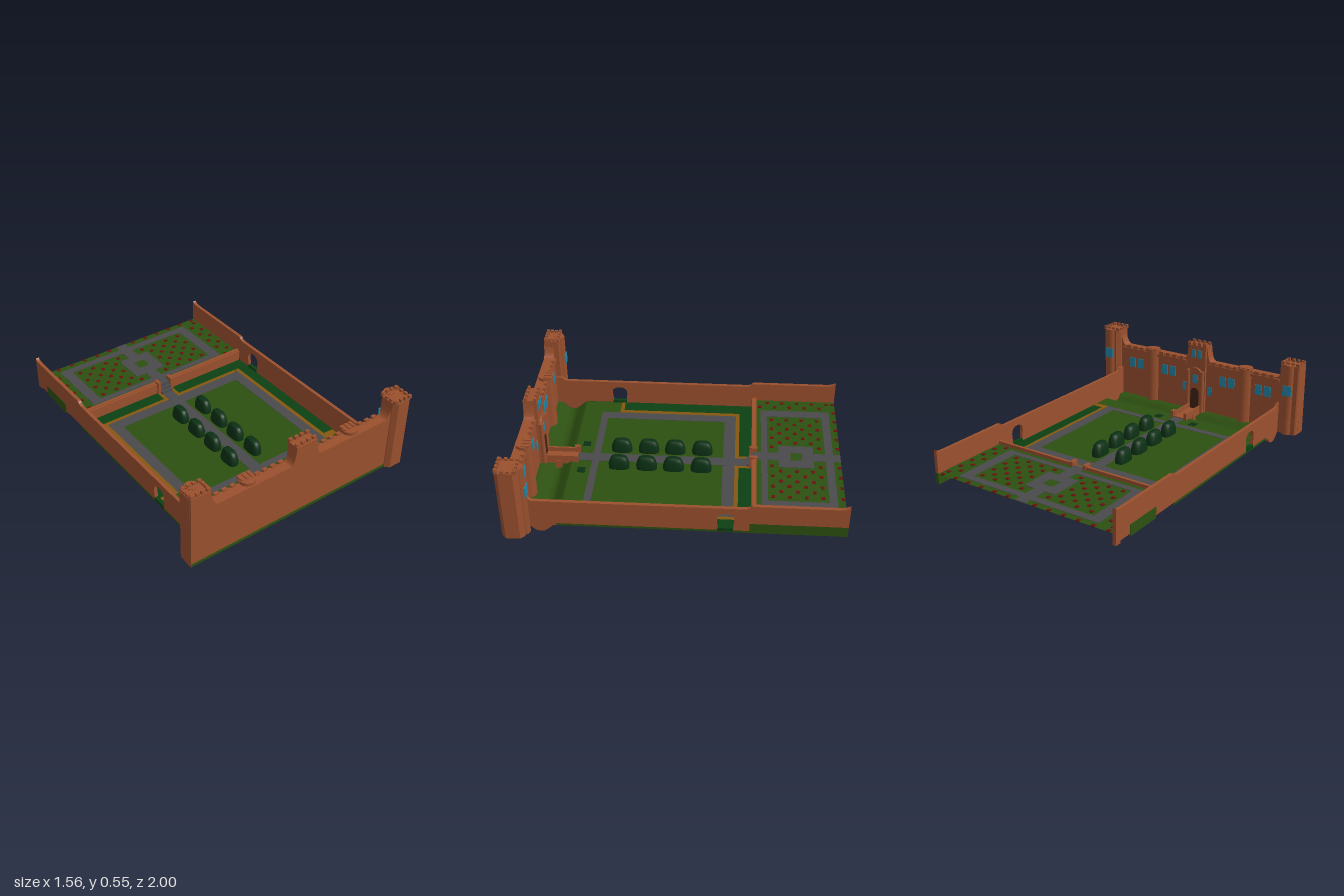
import * as THREE from 'three';

const mat = (color) => new THREE.MeshStandardMaterial({ color, side: THREE.DoubleSide });
const brick = mat(0x9a502e), lawn = mat(0x2d5010), hedge = mat(0x0c4012), path = mat(0x4a494c);
const sand = mat(0x85560f), red = mat(0x6b1010), glass = mat(0x2488a8), bush = mat(0x0b3014), dark = mat(0x3f2416);
const LOW = 0.062, HIGH = 0.12;

export function createModel() {
  const model = new THREE.Group();
  const add = (name, geo, m) => {
    const mesh = new THREE.Mesh(geo, m);
    mesh.name = name;
    model.add(mesh);
    return mesh;
  };
  // box given by its extents
  const box = (name, m, x0, x1, y0, y1, z0, z1) => add(name,
    new THREE.BoxGeometry(x1 - x0, y1 - y0, z1 - z0)
      .translate((x0 + x1) / 2, (y0 + y1) / 2, (z0 + z1) / 2), m);
  // thin ground tile showing above and below the lawn
  const tile = (name, m, x0, x1, z0, z1, y = LOW, t = 0.002) => box(name, m, x0, x1, y - t, y + t, z0, z1);

  // lawn sheets, swept across the width along a [z, y] profile
  const sheet = (name, prof, w) => {
    const pos = [], idx = [];
    prof.forEach(([z, y], i) => {
      pos.push(-w, y, z, w, y, z);
      if (i) idx.push(2 * i - 2, 2 * i - 1, 2 * i, 2 * i - 1, 2 * i + 1, 2 * i);
    });
    const g = new THREE.BufferGeometry();
    g.setAttribute('position', new THREE.Float32BufferAttribute(pos, 3));
    g.setIndex(idx.map((_, i) => idx[i - (i % 3) + [0, 2, 1][i % 3]]));
    g.computeVertexNormals();
    add(name, g, lawn);
  };
  const ditch = [[0.7, LOW], [0.72, 0.05], [0.75, 0.022], [0.77, 0.006], [0.79, 0], [0.82, 0.004], [0.84, 0.02], [0.87, 0.05]];
  sheet('lowerLawn', [[-0.45, LOW], [0.7, LOW]], 0.635);
  sheet('moat', [...ditch, [0.92, 0.055]], 0.625);
  sheet('upperLawn', [[-1, HIGH], [-0.45, HIGH]], 0.635);

  // lower garden: path ring, central path, sand borders and hedge beds
  tile('pathWest', path, -0.505, -0.435, -0.335, 0.575);
  tile('pathEast', path, 0.46, 0.53, -0.335, 0.575);
  tile('pathNorth', path, -0.435, 0.46, -0.335, -0.26);
  tile('pathSouth', path, -0.435, 0.46, 0.53, 0.575);
  tile('centralPath', path, -0.038, 0.038, -0.44, 0.68, LOW, 0.0025);
  tile('sandWest', sand, -0.535, -0.505, -0.36, 0.455);
  tile('sandEast', sand, 0.53, 0.555, -0.36, 0.575);
  tile('sandWestExit', sand, -0.625, -0.535, 0.43, 0.455);
  tile('sandEastExit', sand, 0.555, 0.625, 0.53, 0.575);
  tile('hedgeWest', hedge, -0.63, -0.535, -0.36, 0.43);
  tile('hedgeEast', hedge, 0.555, 0.63, -0.36, 0.53);
  for (const s of [-1, 1]) {
    const span = (name, m, a, b, z0, z1) => tile(name, m, Math.min(s * a, s * b), Math.max(s * a, s * b), z0, z1);
    span('sandNorth', sand, 0.038, 0.52, -0.36, -0.335);
    span('sandGate', sand, 0.038, 0.06, -0.44, -0.36);
    span('hedgeNorth', hedge, 0.06, 0.63, -0.44, -0.36);
    span('plantSquare', bush, 0.112, 0.162, 0.605, 0.655);
    // clipped bushes, open below
    for (const z of [-0.125, 0.05, 0.22, 0.395]) {
      const prof = [[1, 0], [1, 0.025], [0.85, 0.055], [0.62, 0.078], [0.4, 0.085], [0, 0.085]]
        .map(([r, y]) => new THREE.Vector2(r, y));
      const g = new THREE.LatheGeometry(prof, 16);
      const p = g.attributes.position;
      for (let i = 0; i < p.count; i++) { // squared-off footprint
        const x = p.getX(i), q = p.getZ(i);
        p.setXYZ(i, Math.sign(x) * Math.abs(x) ** 0.7 * 0.036, p.getY(i) + LOW, Math.sign(q) * Math.abs(q) ** 0.7 * 0.066);
      }
      g.translate(s * 0.088, 0, z).computeVertexNormals();
      add('bush', g, bush);
    }
  }

  // upper garden: path ring with a centre square and staggered flowers
  const up = (name, m, x0, x1, z0, z1, t) => tile(name, m, x0, x1, z0, z1, HIGH, t);
  up('upperPathWest', path, -0.505, -0.435, -0.955, -0.5);
  up('upperPathEast', path, 0.435, 0.505, -0.955, -0.5);
  up('upperPathNorth', path, -0.435, 0.435, -0.955, -0.905);
  up('upperPathSouth', path, -0.435, 0.435, -0.54, -0.5);
  up('upperCentralPath', path, -0.038, 0.038, -1, -0.45, 0.0025);
  up('centreSquare', path, -0.11, 0.11, -0.83, -0.61, 0.003);
  up('centreLawn', lawn, -0.037, 0.037, -0.757, -0.685, 0.004);
  const flower = (x, z) => {
    for (const s of [-1, 1]) up('flower', red, s * x - 0.011, s * x + 0.011, z - 0.011, z + 0.011, 0.004);
  };
  for (let r = 0; r < 7; r++) for (let c = 0; c < (r % 2 ? 3 : 4); c++) {
    const x = 0.097 + 0.1 * c + (r % 2 ? 0.05 : 0), z = -0.87 + 0.05 * r;
    if (x > 0.12 || z < -0.84 || z > -0.6) flower(x, z);
  }
  for (let r = 0; r < 10; r++) flower(r % 2 ? 0.545 : 0.595, -0.945 + 0.05 * r);
  for (let c = 0; c < 6; c++) flower(0.097 + 0.1 * c, -0.988);

  // retaining walls, posts and steps between the terraces
  for (const s of [-1, 1]) {
    const part = (name, a, b, y1, z0, z1) => box(name, brick, Math.min(s * a, s * b), Math.max(s * a, s * b), 0.055, y1, z0, z1);
    part('retainingWall', 0.045, 0.63, 0.135, -0.465, -0.44);
    part('retainingCoping', 0.045, 0.63, 0.142, -0.47, -0.452);
    part('stairPost', 0.038, 0.06, 0.15, -0.475, -0.425);
  }
  for (let i = 0; i < 3; i++) box('step', path, -0.04, 0.04, LOW, 0.08 + 0.019 * i, -0.47, -0.41 - 0.018 * i);

  // side walls with one arched doorway each; shape x runs toward the back
  const sideWall = (s, door, backBottom) => {
    const sh = new THREE.Shape();
    sh.moveTo(-0.92, 0.05);
    for (const [z, y] of [...ditch].reverse()) sh.lineTo(-z, Math.min(y, 0.05));
    sh.lineTo(-0.7, 0.065);
    sh.lineTo(0.43, 0.065);
    sh.lineTo(0.43, backBottom);
    sh.lineTo(1, backBottom);
    sh.lineTo(1, 0.268);
    sh.quadraticCurveTo(0.985, 0.252, 0.94, 0.25);
    sh.lineTo(0.45, 0.25);
    sh.quadraticCurveTo(0.435, 0.247, 0.43, 0.235);
    sh.lineTo(0.41, 0.228);
    sh.lineTo(-0.83, 0.228);
    sh.quadraticCurveTo(-0.85, 0.23, -0.86, 0.25);
    sh.lineTo(-0.92, 0.25);
    const h = new THREE.Path(), c = -door;
    h.moveTo(c - 0.045, 0.07);
    h.lineTo(c + 0.045, 0.07);
    h.lineTo(c + 0.052, 0.14);
    h.quadraticCurveTo(c + 0.05, 0.187, c, 0.187);
    h.quadraticCurveTo(c - 0.05, 0.187, c - 0.052, 0.14);
    sh.holes.push(h);
    const g = new THREE.ExtrudeGeometry(sh, { depth: 0.022, bevelEnabled: false, curveSegments: 8 });
    add('sideWall', g.rotateY(Math.PI / 2).translate(s * 0.638 - 0.011, 0, 0), brick);
    box('lawnEdge', lawn, s * 0.638 - 0.011, s * 0.638 + 0.011, 0.05, 0.065, -0.43, 0.7);
    box('doorSill', hedge, s * 0.638 - 0.012, s * 0.638 + 0.012, 0.055, 0.08, door - 0.046, door + 0.046);
  };
  sideWall(1, -0.29, HIGH);
  sideWall(-1, 0.47, 0.065);
  box('terraceEdge', lawn, 0.627, 0.649, 0.05, HIGH, -1, -0.43);
  box('terraceEdge', lawn, -0.651, -0.645, 0.05, HIGH, -0.87, -0.62);
  box('wallEnd', brick, -0.649, -0.627, 0.05, 0.1, -1, -0.96);

  // castle front: one outline with flared towers and gatehouse
  const f = new THREE.Shape();
  f.moveTo(-0.78, 0.05);
  f.lineTo(0.78, 0.05);
  f.lineTo(0.775, 0.525);
  f.lineTo(0.65, 0.525);
  f.quadraticCurveTo(0.635, 0.42, 0.6, 0.415);
  f.lineTo(0.11, 0.415);
  f.quadraticCurveTo(0.08, 0.42, 0.072, 0.53);
  f.lineTo(-0.072, 0.53);
  f.quadraticCurveTo(-0.08, 0.42, -0.11, 0.415);
  f.lineTo(-0.6, 0.415);
  f.quadraticCurveTo(-0.635, 0.42, -0.65, 0.525);
  f.lineTo(-0.775, 0.525);
  add('castleFront', new THREE.ExtrudeGeometry(f, { depth: 0.065, bevelEnabled: false }).translate(0, 0, 0.905), brick);
  box('baseBand', lawn, -0.775, 0.72, 0.052, 0.07, 0.96, 0.973);

  // corner towers: extruded footprints with merlons round the edge
  const tower = (cx, z0, z1, c) => {
    const w = 0.068, m = (z0 + z1) / 2, d = (z1 - z0) / 2;
    const ring = [[-w + c, -d], [w - c, -d], [w, -d + c], [w, d - c], [w - c, d], [-w + c, d], [-w, d - c], [-w, -d + c]];
    const sh = new THREE.Shape(ring.map(([x, z]) => new THREE.Vector2(cx + x, -(m + z))));
    const g = new THREE.ExtrudeGeometry(sh, { depth: 0.475, bevelEnabled: false });
    add('cornerTower', g.rotateX(-Math.PI / 2).translate(0, 0.05, 0), brick);
    for (let i = 0; i < 4; i++) for (const e of [-1, 1]) {
      const x = cx - 0.051 + 0.034 * i, z = m + e * (d - 0.012), q = m + (i - 1.5) * d * 0.5;
      box('towerMerlon', brick, x - 0.01, x + 0.01, 0.52, 0.545, z - 0.008, z + 0.008);
      box('towerMerlon', brick, cx + e * 0.058 - 0.008, cx + e * 0.058 + 0.008, 0.52, 0.54, q - 0.01, q + 0.01);
    }
    add('stairTurret', new THREE.CylinderGeometry(0.035, 0.035, 0.48, 8).translate(cx, 0.29, z0 + 0.01), brick);
    box('towerWindow', glass, cx - 0.03, cx + 0.03, 0.325, 0.392, z0 - 0.027, z0 - 0.02);
  };
  tower(-0.71, 0.865, 0.97, 0.008);
  tower(0.71, 0.865, 1, 0.025);

  for (const s of [-1, 1]) {
    // battlements, bays and paired windows
    for (let i = 0; i < 9; i++) {
      const x = s * (0.13 + i * 0.055);
      box('merlon', brick, x - 0.015, x + 0.015, 0.405, 0.427, 0.895, 0.915);
    }
    box('parapetBand', brick, Math.min(s * 0.09, s * 0.63), Math.max(s * 0.09, s * 0.63), 0.385, 0.405, 0.893, 0.91);
    add('bay', new THREE.CylinderGeometry(0.05, 0.05, 0.38, 10).translate(s * 0.37, 0.245, 0.915), brick);
    for (const dx of [-0.032, 0, 0.032]) box('bayMerlon', brick, s * 0.37 + dx - 0.01, s * 0.37 + dx + 0.01, 0.43, 0.442, 0.875, 0.925);
    for (const x of [0.2, 0.267, 0.475, 0.542]) box('window', glass, s * x - 0.025, s * x + 0.025, 0.265, 0.335, 0.9, 0.907);
    box('lowWindow', glass, s * 0.1 - 0.015, s * 0.1 + 0.015, 0.18, 0.24, 0.9, 0.907);
    box('gateWindow', glass, s * 0.022 - 0.014, s * 0.022 + 0.014, 0.44, 0.495, 0.882, 0.89);
    // gate columns and bridge parapets
    add('gateColumn', new THREE.CylinderGeometry(0.014, 0.016, 0.3, 8).translate(s * 0.055, 0.2, 0.877), brick);
    box('bridgeParapet', brick, s * 0.043 - 0.006, s * 0.043 + 0.006, 0.04, 0.1, 0.68, 0.89);
    box('bridgePost', brick, s * 0.052 - 0.01, s * 0.052 + 0.01, 0.045, 0.11, 0.66, 0.695);
    box('bridgePier', brick, s * 0.04 - 0.012, s * 0.04 + 0.012, 0.005, 0.06, 0.77, 0.81);
  }

  // gatehouse, arched doorway and bridge deck
  box('gatehouse', brick, -0.07, 0.07, 0.05, 0.525, 0.888, 0.962);
  for (let i = 0; i < 4; i++) for (const z of [0.896, 0.954]) {
    const x = -0.06 + 0.04 * i;
    box('gateMerlon', brick, x - 0.012, x + 0.012, 0.52, 0.548, z - 0.008, z + 0.008);
  }
  const arch = (name, m, w, top, z, depth) => {
    const sh = new THREE.Shape();
    sh.moveTo(-w, 0.06);
    sh.lineTo(w, 0.06);
    sh.lineTo(w, top);
    sh.absarc(0, top, w, 0, Math.PI);
    add(name, new THREE.ExtrudeGeometry(sh, { depth, bevelEnabled: false }).translate(0, 0, z), m);
  };
  arch('gateSurround', brick, 0.05, 0.32, 0.874, 0.02);
  arch('gateDoor', dark, 0.033, 0.19, 0.871, 0.01);
  box('gateUpperWindow', glass, -0.018, 0.018, 0.26, 0.32, 0.871, 0.876);
  box('bridgeDeck', brick, -0.042, 0.042, 0.05, 0.07, 0.67, 0.9);
  return model;
}
